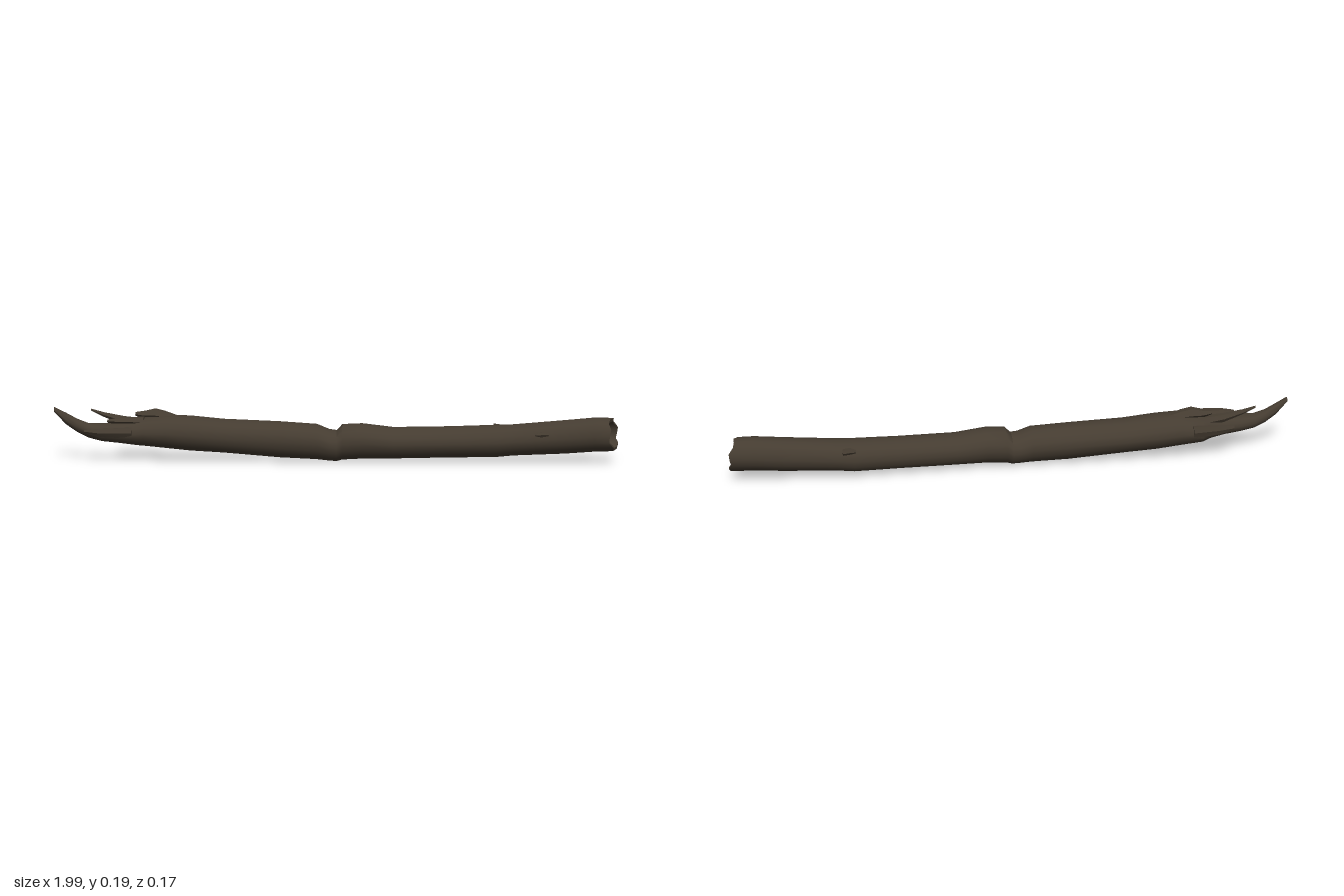
import * as THREE from 'three';
import { toCreasedNormals } from 'three/addons/utils/BufferGeometryUtils.js';

const bark = new THREE.MeshStandardMaterial({ color: 0x453c31 });
bark.name = 'darkBark';

// Skin rings of points (ordered along +x) and close both ends with a fan.
function skin(rings, crease) {
  const n = rings[0].length, pos = rings.flat(2), idx = [];
  const mid = (r) => [0, 1, 2].map((k) => r.reduce((s, p) => s + p[k], 0) / n);
  for (let i = 0; i < rings.length - 1; i++) {
    for (let j = 0; j < n; j++) {
      const a = i * n + j, b = i * n + (j + 1) % n;
      idx.push(a, a + n, b, b, a + n, b + n);
    }
  }
  const first = pos.length / 3, end = (rings.length - 1) * n;
  pos.push(...mid(rings[0]), ...mid(rings[rings.length - 1]));
  for (let j = 0; j < n; j++) {
    const k = (j + 1) % n;
    idx.push(first, j, k, first + 1, end + k, end + j);
  }
  const geo = new THREE.BufferGeometry();
  geo.setAttribute('position', new THREE.Float32BufferAttribute(pos, 3));
  geo.setIndex(idx);
  return toCreasedNormals(geo, crease);
}

// Ring from a section [x, bottom, top, back, front]; scale shrinks it, dx shifts x by angle.
function ring([x, y0, y1, z0, z1], n, scale = 1, dx = () => 0, rough = 0.025) {
  return Array.from({ length: n }, (_, j) => {
    const a = (j / n) * Math.PI * 2;
    const r = scale * (1 + rough * Math.sin(a * 3 + x * 9) * Math.cos(a * 2 - x * 5));
    return [
      x + dx(a),
      (y0 + y1) / 2 + ((y1 - y0) / 2) * r * Math.sin(a),
      (z0 + z1) / 2 + ((z1 - z0) / 2) * r * Math.cos(a),
    ];
  });
}

export function createModel() {
  const group = new THREE.Group();
  group.name = 'fallenBranch';
  const add = (name, rings, crease = 0.7) => {
    const mesh = new THREE.Mesh(skin(rings, crease), bark);
    mesh.name = name;
    group.add(mesh);
  };

  // Trunk, from the torn tongue on the right to the hollow end on the left
  const N = 16;
  const sections = [
    [-1.0, 0.175, 0.192, -0.008, 0.014],
    [-0.96, 0.13, 0.172, -0.016, 0.014],
    [-0.92, 0.102, 0.15, -0.022, 0.018],
    [-0.88, 0.083, 0.135, -0.026, 0.03],
    [-0.83, 0.072, 0.136, -0.034, 0.052],
    [-0.77, 0.066, 0.14, -0.042, 0.056],
    [-0.71, 0.058, 0.148, -0.06, 0.062],
    [-0.68, 0.054, 0.158, -0.084, 0.064],
    [-0.6, 0.046, 0.165, -0.084, 0.068],
    [-0.52, 0.037, 0.162, -0.083, 0.067],
    [-0.4, 0.03, 0.151, -0.078, 0.065],
    [-0.2, 0.016, 0.145, -0.066, 0.071],
    [-0.07, 0.01, 0.136, -0.056, 0.076],
    [-0.025, 0.006, 0.118, -0.052, 0.078],
    [0.0, 0.005, 0.115, -0.051, 0.079],
    [0.02, 0.01, 0.136, -0.051, 0.08],
    [0.09, 0.015, 0.14, -0.052, 0.083],
    [0.2, 0.017, 0.128, -0.053, 0.081],
    [0.4, 0.019, 0.13, -0.056, 0.072],
    [0.56, 0.021, 0.136, -0.061, 0.066],
    [0.62, 0.028, 0.139, -0.056, 0.067],
    [0.8, 0.036, 0.155, -0.045, 0.068],
    [0.9, 0.043, 0.164, -0.041, 0.07],
  ];
  // Ragged rim, further out at the back and bottom, around a shallow hollow
  const rag = (a) => -0.018 * Math.cos(a) - 0.006 * Math.sin(a) + 0.006 * Math.sin(a * 5);
  const rim = [0.97, 0.046, 0.164, -0.038, 0.071];
  const floor = [0.93, 0.046, 0.164, -0.038, 0.071];
  add('trunk', [
    ...sections.map((s) => ring(s, N)),
    ring(rim, N, 1, rag),
    ring(rim, N, 0.82, rag),
    ring(floor, N, 0.68, (a) => 0.008 * Math.sin(a * 2)),
  ]);

  // Splinters and lifted bark around the break
  const bits = {
    backSplinter: [
      [-0.785, 0.115, 0.135, -0.09, -0.074],
      [-0.73, 0.1, 0.138, -0.09, -0.07],
      [-0.64, 0.09, 0.14, -0.088, -0.06],
    ],
    upperSpike: [
      [-0.875, 0.174, 0.182, -0.036, -0.03],
      [-0.83, 0.152, 0.17, -0.04, -0.024],
      [-0.76, 0.125, 0.158, -0.044, -0.012],
      [-0.68, 0.11, 0.15, -0.044, 0],
    ],
    liftedBark: [
      [-0.715, 0.158, 0.172, -0.038, -0.012],
      [-0.68, 0.146, 0.178, -0.044, 0],
      [-0.645, 0.14, 0.187, -0.046, 0.008],
      [-0.61, 0.14, 0.178, -0.04, 0.01],
      [-0.56, 0.14, 0.16, -0.03, 0.005],
    ],
    frontSplinter: [
      [-0.89, 0.105, 0.115, 0.032, 0.042],
      [-0.83, 0.09, 0.122, 0.03, 0.059],
      [-0.72, 0.085, 0.13, 0.03, 0.064],
    ],
    middleSplinter: [
      [-0.81, 0.138, 0.15, 0.006, 0.022],
      [-0.76, 0.13, 0.158, -0.004, 0.034],
      [-0.68, 0.125, 0.162, -0.01, 0.04],
    ],
    frontKnot: [
      [0.695, 0.104, 0.11, 0.058, 0.066],
      [0.715, 0.098, 0.12, 0.05, 0.069],
      [0.74, 0.104, 0.114, 0.058, 0.067],
    ],
    backTwig: [
      [0.555, 0.118, 0.13, -0.078, -0.066],
      [0.575, 0.108, 0.13, -0.07, -0.04],
      [0.6, 0.1, 0.122, -0.058, -0.03],
    ],
  };
  for (const [name, list] of Object.entries(bits)) {
    add(name, list.map((s) => ring(s, 6, 1, undefined, 0.1)), 0.4);
  }
  return group;
}
